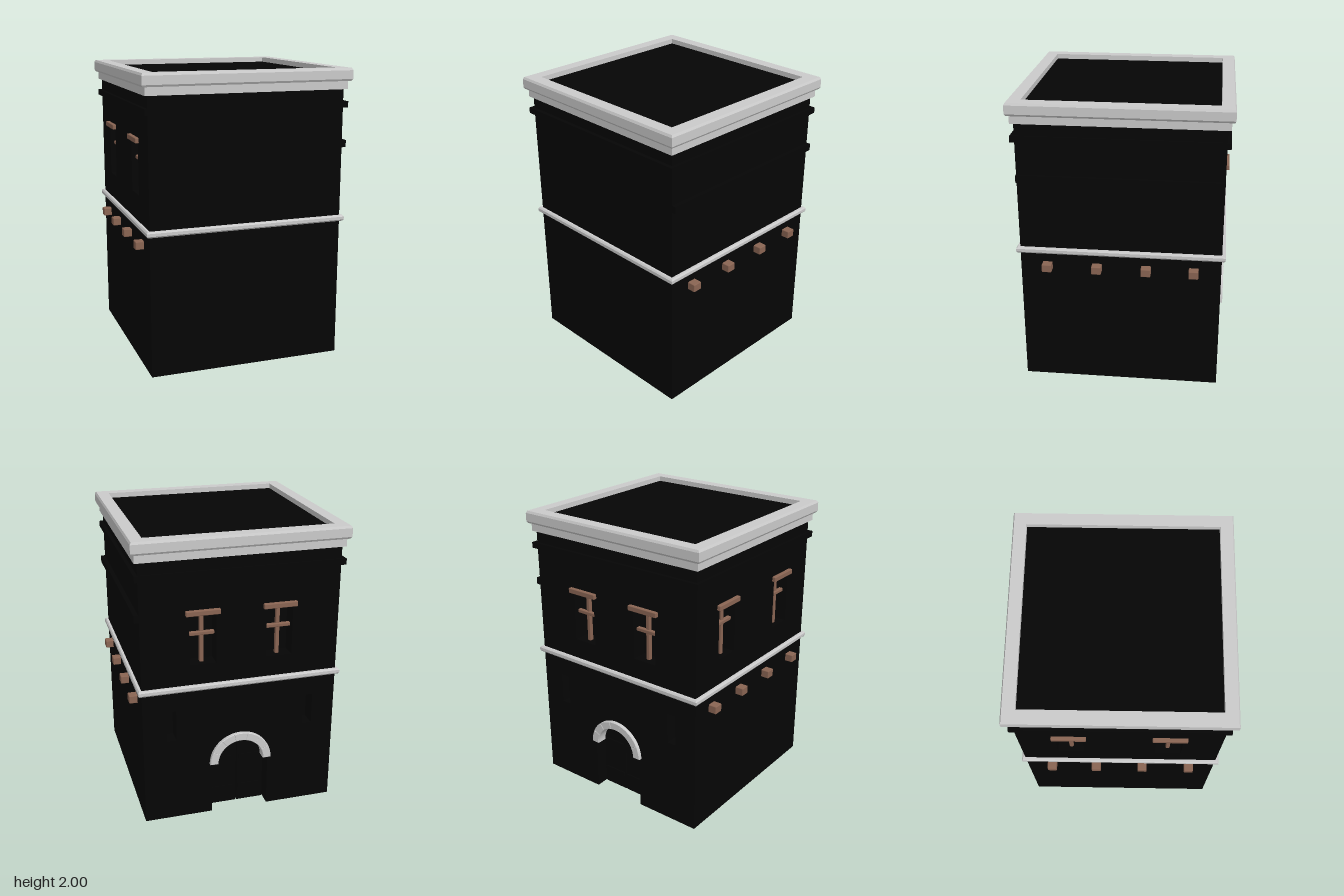
import * as THREE from 'three';
import { RoundedBoxGeometry } from 'three/addons/geometries/RoundedBoxGeometry.js';

const H = 0.672;      // half width of the tower
const TOP = 1.87;     // top of the walls
const DEPTH = 0.11;   // depth of the wall openings

const wallMat = new THREE.MeshStandardMaterial({ color: 0x050505 });
const bandMat = new THREE.MeshStandardMaterial({ color: 0x050505, flatShading: true });
const stoneMat = new THREE.MeshStandardMaterial({ color: 0xcccccc, flatShading: true });
const woodMat = new THREE.MeshStandardMaterial({ color: 0x8a6553 });

function add(parent, name, geometry, material, x = 0, y = 0, z = 0) {
  const mesh = new THREE.Mesh(geometry, material);
  mesh.name = name;
  mesh.position.set(x, y, z);
  parent.add(mesh);
  return mesh;
}

const box = (w, h, d) => new THREE.BoxGeometry(w, h, d);
const beam = (w, h, d) => new RoundedBoxGeometry(w, h, d, 1, 0.006);

// Square moulding running round the tower; profile is [half width, height], outer side upward
function squareRing(profile) {
  const pts = [...profile, profile[0]].map(([r, y]) => new THREE.Vector2(r * Math.SQRT2, y));
  return new THREE.LatheGeometry(pts, 4).rotateY(Math.PI / 4);
}

function rectHole(u, y0, y1, w) {
  return new THREE.Path([
    new THREE.Vector2(u - w / 2, y0), new THREE.Vector2(u - w / 2, y1),
    new THREE.Vector2(u + w / 2, y1), new THREE.Vector2(u + w / 2, y0)]);
}

// Pierced wall, outer face at local z = H
function addWall(parent, name, shape) {
  const geo = new THREE.ExtrudeGeometry(shape, { depth: DEPTH, bevelEnabled: false, curveSegments: 16 });
  return add(parent, name, geo, wallMat, 0, 0, H - DEPTH);
}

// Timber lintel, mullion and crossbar of one window
function addWindow(parent, u, y0, y1, barY) {
  const win = new THREE.Group();
  win.name = 'window';
  win.position.x = u;
  add(win, 'lintel', beam(0.23, 0.036, 0.05), woodMat, 0, y1 + 0.016, H);
  add(win, 'mullion', beam(0.028, y1 - y0, 0.03), woodMat, 0, (y0 + y1) / 2, H - 0.05);
  add(win, 'crossbar', beam(0.17, 0.026, 0.03), woodMat, 0, barY, H - 0.04);
  parent.add(win);
}

// Wedge stones of the door arch
function addArch(parent, springY, inner, outer, count) {
  const arch = new THREE.Group();
  arch.name = 'doorArch';
  arch.position.set(0, springY, H - 0.05);
  for (let i = 0; i < count; i++) {
    const gap = 0.012;
    const a0 = (i / count) * Math.PI + gap;
    const a1 = ((i + 1) / count) * Math.PI - gap;
    const s = new THREE.Shape();
    s.absarc(0, 0, outer - 0.004, a0, a1, false);
    s.absarc(0, 0, inner + 0.004, a1, a0, true);
    s.closePath();
    add(arch, 'archStone', new THREE.ExtrudeGeometry(s, {
      depth: 0.071, curveSegments: 3, bevelSize: 0.004, bevelThickness: 0.004, bevelSegments: 1,
    }), stoneMat);
  }
  parent.add(arch);
}

export function createModel() {
  const model = new THREE.Group();
  model.name = 'squareTower';

  // Solid core, flush on the front and right sides
  const coreW = 2 * H - DEPTH;
  add(model, 'towerCore', box(coreW, TOP, coreW), wallMat, DEPTH / 2, TOP / 2, DEPTH / 2);
  add(model, 'roof', box(1.27, 0.12, 1.27), wallMat, 0, 1.905, 0);

  // Back wall: arched doorway, two slits and two windows
  const back = new THREE.Group();
  back.name = 'backSide';
  back.rotation.y = Math.PI;
  model.add(back);
  const dw = 0.2, springY = 0.385;
  const backShape = new THREE.Shape();
  backShape.moveTo(-H, 0);
  backShape.lineTo(-dw, 0);
  backShape.lineTo(-dw, springY);
  backShape.absarc(0, springY, dw, Math.PI, 0, true);
  backShape.lineTo(dw, 0);
  backShape.lineTo(H, 0);
  backShape.lineTo(H, TOP);
  backShape.lineTo(-H, TOP);
  backShape.closePath();
  for (const s of [-1, 1]) {
    backShape.holes.push(rectHole(s * 0.48, 0.6, 0.82, 0.07), rectHole(s * 0.26, 1.14, 1.485, 0.18));
    addWindow(back, s * 0.26, 1.14, 1.485, 1.345);
    // Door leaf with two rails
    add(back, 'doorLeaf', box(0.19, 0.56, 0.02), wallMat, s * 0.1, 0.28, H - 0.1);
    for (const y of [0.12, 0.36]) add(back, 'doorRail', box(0.17, 0.03, 0.015), wallMat, s * 0.1, y, H - 0.085);
  }
  addWall(back, 'backWall', backShape);
  addArch(back, springY, 0.16, 0.217, 7);

  // Wall on the -x side with two windows
  const side = new THREE.Group();
  side.name = 'windowSide';
  side.rotation.y = -Math.PI / 2;
  model.add(side);
  const sideShape = new THREE.Shape([
    new THREE.Vector2(-H + DEPTH, 0), new THREE.Vector2(H, 0),
    new THREE.Vector2(H, TOP), new THREE.Vector2(-H + DEPTH, TOP)]);
  for (const u of [-0.335, 0.325]) {
    sideShape.holes.push(rectHole(u, 1.18, 1.532, 0.18));
    addWindow(side, u, 1.18, 1.532, 1.41);
  }
  addWall(side, 'sideWall', sideShape);

  // Mouldings
  add(model, 'upperBand', squareRing([[0.65, 1.74], [0.697, 1.74], [0.697, 1.78], [0.65, 1.78]]), bandMat);
  add(model, 'sideBand', box(0.06, 0.048, 2 * H), bandMat, 0.673, 1.492, 0);
  add(model, 'stringCourse', squareRing([
    [0.65, 0.96], [0.688, 0.96], [0.696, 0.97], [0.696, 0.99], [0.688, 1.0], [0.65, 1.0]]), stoneMat);
  add(model, 'corniceBase', squareRing([
    [0.63, 1.86], [0.693, 1.86], [0.693, 1.92], [0.63, 1.92]]), stoneMat);
  add(model, 'corniceTop', squareRing([
    [0.627, 1.915], [0.709, 1.915], [0.717, 1.928], [0.717, 1.985], [0.709, 2.0], [0.627, 2.0]]), stoneMat);

  // Projecting beam ends on both sides
  for (const s of [-1, 1]) {
    for (const z of [-0.49, -0.173, 0.157, 0.49]) {
      add(model, 'beamEnd', beam(0.1, 0.056, 0.066), woodMat, s * 0.679, 0.868, z);
    }
  }
  return model;
}
